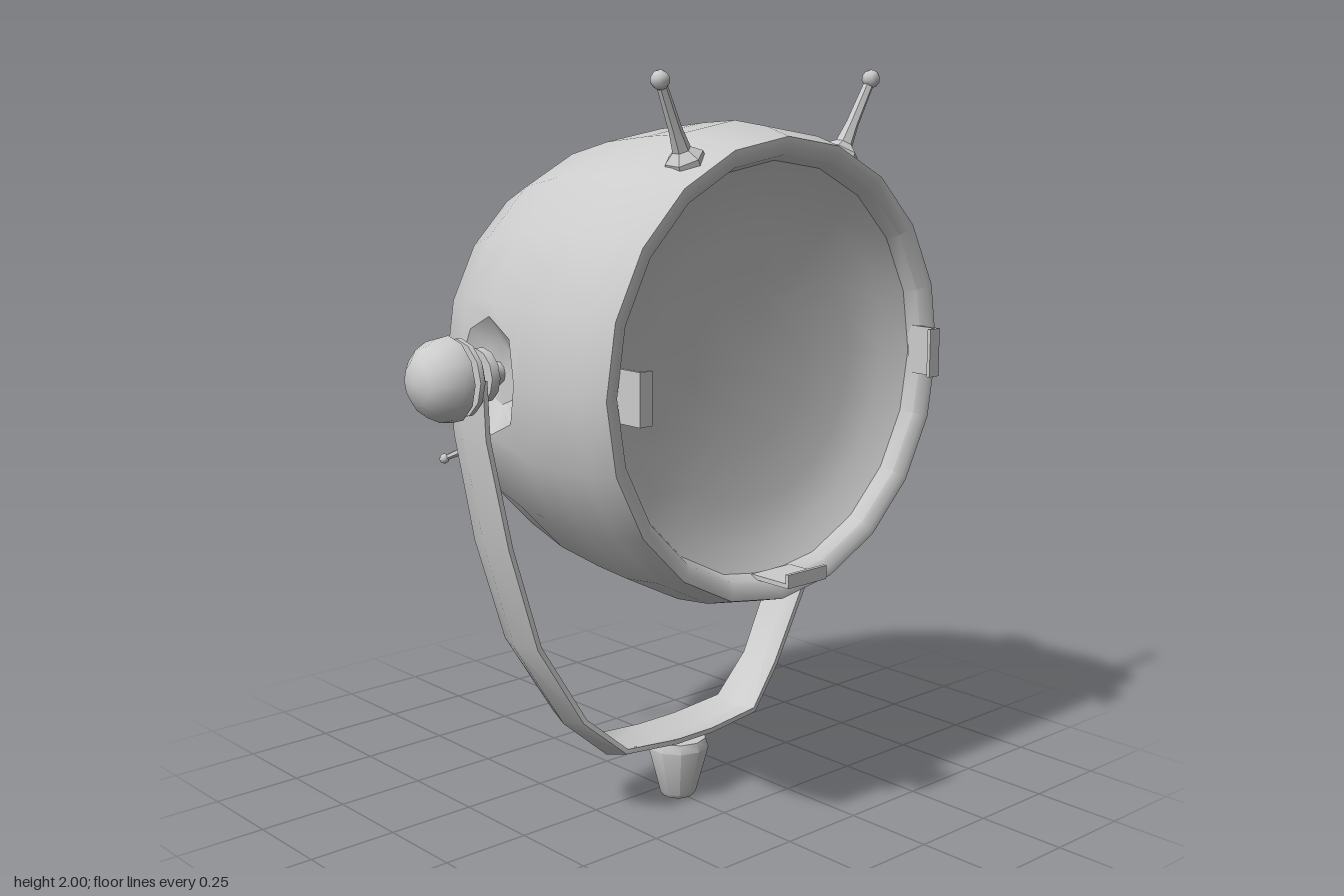
import * as THREE from 'three';
import { mergeGeometries, toCreasedNormals } from 'three/addons/utils/BufferGeometryUtils.js';

const V2 = (a) => a.map(([x, y]) => new THREE.Vector2(x, y));
const V3 = (x, y, z) => new THREE.Vector3(x, y, z);
const AXIS_Y = 1.25;   // height of the lamp axis and pivots
const PIVOT_Z = -0.035;

export function createModel() {
  const model = new THREE.Group();
  const material = new THREE.MeshStandardMaterial({ color: 0xcccccc, side: THREE.DoubleSide });

  const add = (name, geometry, parent = model) => {
    const mesh = new THREE.Mesh(geometry, material);
    mesh.name = name;
    parent.add(mesh);
    return mesh;
  };
  const crease = (g, angle = 0.65) => toCreasedNormals(g, angle);
  const lathe = (points, sides) => crease(new THREE.LatheGeometry(V2(points), sides));
  const fromTriangles = (tris) => {
    const g = new THREE.BufferGeometry();
    g.setAttribute('position', new THREE.Float32BufferAttribute(tris.flatMap((p) => p.toArray()), 3));
    return g;
  };
  const quad = (out, a, b, c, d, flip) =>
    flip ? out.push(a, c, b, a, d, c) : out.push(a, b, c, a, c, d);

  // Lamp housing: hollow shell turned about z, with a dished pocket on each side
  const outer = [[0, -0.55], [0.075, -0.546], [0.19, -0.514], [0.365, -0.434], [0.5, -0.3],
    [0.558, -0.17], [0.597, -0.01], [0.616, 0.15], [0.625, 0.27], [0.613, 0.38], [0.59, 0.46]];
  const inner = [[0.568, 0.46], [0.545, 0.445], [0.53, 0.41], [0.575, 0.37], [0.6, 0.27],
    [0.591, 0.15], [0.572, -0.01], [0.533, -0.17], [0.48, -0.29], [0.345, -0.412], [0.18, -0.489],
    [0.07, -0.522], [0, -0.525]];
  const profile = [...outer, ...inner];
  const SIDES = 20;
  const shell = new THREE.LatheGeometry(V2(profile), SIDES);
  const rows = profile.length - 1;
  const inPocket = (j) => {
    const zs = [profile[j][1], profile[j + 1][1]];
    return Math.min(...zs) >= -0.17 && Math.max(...zs) <= 0.15;
  };
  const kept = [...shell.index.array].filter((_, k) => {
    const q = Math.floor(k / 6);
    return !([4, 5, 14, 15].includes(Math.floor(q / rows)) && inPocket(q % rows));
  });
  shell.setIndex(kept);
  shell.rotateX(Math.PI / 2);
  const housing = shell.toNonIndexed();
  housing.deleteAttribute('uv');
  housing.deleteAttribute('normal');

  const radiusAt = (z) => {
    const i = outer.findIndex((p, k) => k > 0 && p[1] >= z - 1e-6);
    const [r0, z0] = outer[i - 1], [r1, z1] = outer[i];
    return r0 + ((r1 - r0) * (z - z0)) / (z1 - z0);
  };
  // Rings of a pocket: square opening, round mouth, flat floor, centre
  const pocket = (side, inset) => {
    const N = 8, rings = [[], [], [], []], tris = [];
    const onShell = (y, z) => V3(side * (radiusAt(z) - inset - Math.abs(y) * Math.tan(Math.PI / SIDES)), y, z);
    for (let i = 0; i < N; i++) {
      const a = (i / N) * Math.PI * 2, c = Math.cos(a), s = Math.sin(a);
      const m = Math.max(Math.abs(c), Math.abs(s));
      const z = -0.01 + (0.16 * s) / m;
      rings[0].push(onShell((c / m) * (radiusAt(z) - inset) * Math.sin((2 * Math.PI) / SIDES), z));
      rings[1].push(onShell(0.15 * c, -0.01 + 0.15 * s));
      rings[2].push(V3(side * (0.53 - inset), 0.08 * c, -0.02 + 0.08 * s));
      rings[3].push(V3(side * (0.53 - inset), 0, -0.02));
    }
    for (let k = 0; k < 3; k++) for (let i = 0; i < N; i++) {
      const j = (i + 1) % N;
      quad(tris, rings[k][i], rings[k][j], rings[k + 1][j], rings[k + 1][i], (side < 0) !== (inset > 0));
    }
    return fromTriangles(tris);
  };
  const pockets = [1, -1].flatMap((s) => [pocket(s, 0), pocket(s, 0.025)]);
  add('lampHousing', crease(mergeGeometries([housing, ...pockets]), 0.6)).position.y = AXIS_Y;

  // Shallow dished lens closing the front
  const lens = add('lens', lathe([[0, 0.325], [0.2, 0.33], [0.36, 0.345], [0.46, 0.37], [0.53, 0.41]], SIDES));
  lens.rotation.x = Math.PI / 2;
  lens.position.y = AXIS_Y;

  // Yoke: slightly arched strap swept from one pivot under the lamp to the other
  // Each station: x, y, z, half width
  const half = [[0.652, 1.25, -0.025, 0.068], [0.652, 1.1, -0.017, 0.068], [0.598, 0.81, -0.008, 0.073],
    [0.52, 0.53, 0.008, 0.07], [0.378, 0.295, 0.027, 0.064], [0.25, 0.182, 0.048, 0.075], [0.07, 0.165, 0.05, 0.08]];
  const path = [...half, ...half.slice().reverse().map(([x, ...rest]) => [-x, ...rest])];
  const across = [[0.005, 1], [0.005, 0], [0.005, -1]].map(([o, b]) => [o - 0.022 * Math.abs(b), b]);
  const outline = [...across, ...across.slice().reverse().map(([o, b]) => [o - 0.014, b])];
  const sections = path.map(([x, y, z, w], i) => {
    const p = path[Math.max(i - 1, 0)], n = path[Math.min(i + 1, path.length - 1)];
    const t = new THREE.Vector2(n[0] - p[0], n[1] - p[1]).normalize();
    return outline.map(([o, b]) => V3(x - o * t.y, y + o * t.x, z + b * w));
  });
  const strap = [];
  for (let i = 0; i < sections.length - 1; i++) for (let k = 0; k < outline.length; k++) {
    const a = sections[i], b = sections[i + 1], l = (k + 1) % outline.length;
    quad(strap, a[k], a[l], b[l], b[k], true);
  }
  add('yoke', crease(fromTriangles(strap)));

  // Tapered foot under the yoke
  const foot = add('foot', lathe([[0, 0], [0.045, 0], [0.052, 0.01], [0.088, 0.145], [0.08, 0.17], [0, 0.17]], 10));
  foot.position.z = 0.06;

  // Pin with a flared base and a ball tip, pointing from one point to another
  const pin = (name, from, to, base, stem, ball, sides) => {
    const group = new THREE.Group(), dir = to.clone().sub(from), h = dir.length();
    group.name = name;
    group.position.copy(from);
    group.quaternion.setFromUnitVectors(V3(0, 1, 0), dir.normalize());
    add('pinStem', lathe([[0, -base * 0.4], [base, -base * 0.4], [base * 0.95, base * 0.2],
      [base * 0.45, base * 0.6], [stem * 1.3, h * 0.4], [stem, h]], sides), group);
    add('pinBall', new THREE.SphereGeometry(ball, 8, 6), group).position.y = h;
    model.add(group);
  };

  const box = (name, w, h, d, x, y, z) => add(name, new THREE.BoxGeometry(w, h, d)).position.set(x, y, z);

  for (const s of [1, -1]) {
    const side = s > 0 ? 'left' : 'right';

    // Pivot: axle, washers, yoke end and domed knob, all turned about x
    const pivot = (part, points, x, sides) => {
      const mesh = add(side + part, lathe(points, sides));
      mesh.rotation.z = (-s * Math.PI) / 2;
      mesh.position.set(s * x, AXIS_Y, PIVOT_Z);
    };
    const disc = (r, t) => [[0, 0], [r, 0], [r, t], [0, t]];
    pivot('Axle', disc(0.03, 0.18), 0.52, 10);
    pivot('InnerWasher', disc(0.07, 0.025), 0.575, 12);
    pivot('OuterWasher', disc(0.065, 0.012), 0.618, 12);
    pivot('YokeEnd', disc(0.1, 0.014), 0.643, 12);
    pivot('Knob', [[0, 0], [0.11, 0], [0.106, 0.03], [0.088, 0.068], [0.055, 0.096], [0, 0.11]], 0.68, 12);

    // Upper handles and small rear pins
    pin(side + 'UpperPin', V3(s * 0.272, 1.785, 0.38), V3(s * 0.367, 1.976, 0.397), 0.052, 0.013, 0.024, 6);
    pin(side + 'RearPin', V3(s * 0.37, 0.995, -0.35), V3(s * 0.43, 0.95, -0.425), 0.022, 0.008, 0.014, 6);

    // Side filter clips
    box(side + 'ClipArm', 0.01, 0.13, 0.1, s * 0.53, AXIS_Y + 0.005, 0.465);
    box(side + 'ClipLip', 0.038, 0.13, 0.01, s * 0.516, AXIS_Y + 0.005, 0.51);
  }

  // Bottom filter clip
  box('bottomClipArm', 0.14, 0.012, 0.13, 0, 0.725, 0.482);
  box('bottomClipLip', 0.14, 0.036, 0.01, 0, 0.737, 0.543);

  return model;
}
